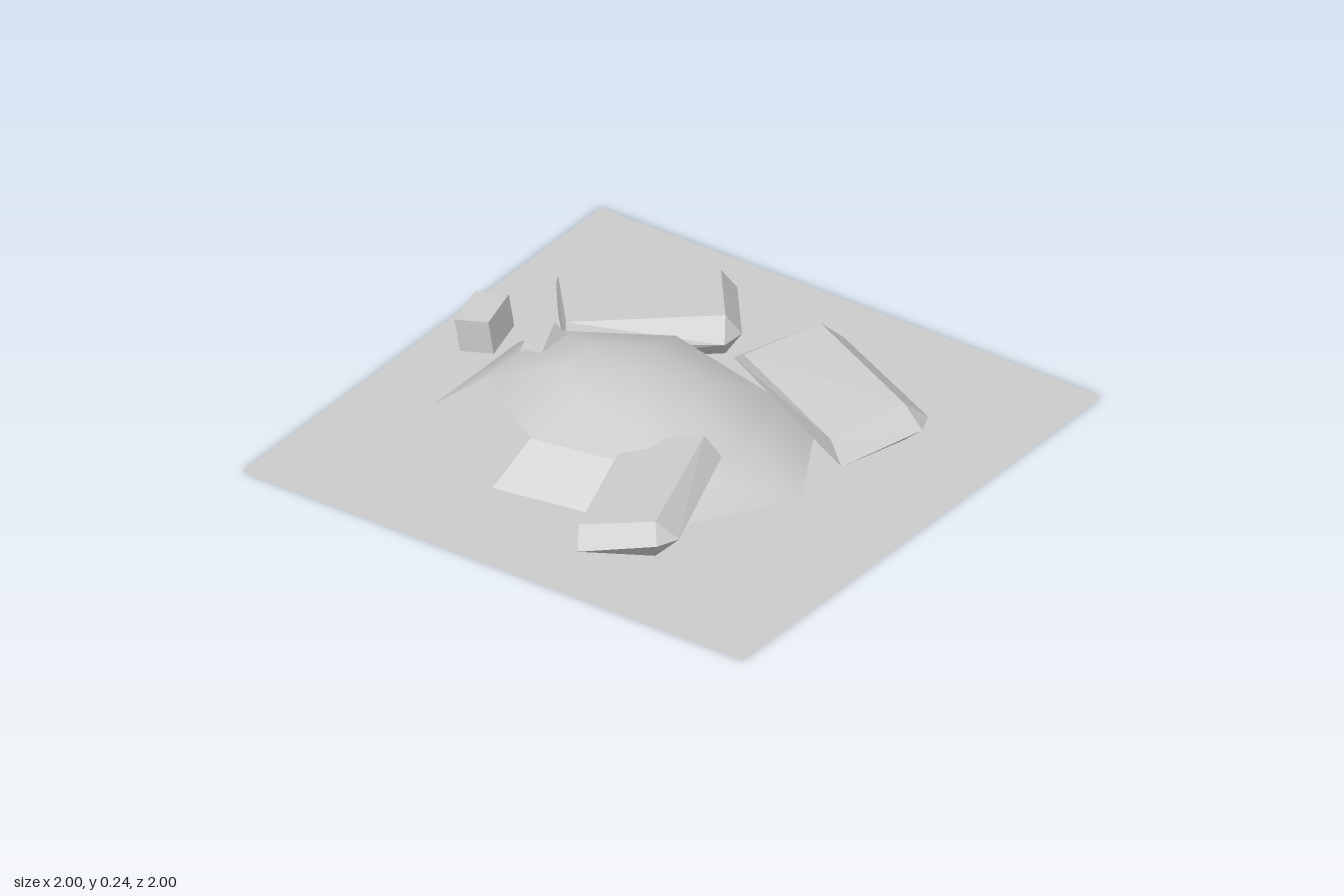
import * as THREE from 'three';
import { ConvexGeometry } from 'three/addons/geometries/ConvexGeometry.js';

const grey = new THREE.MeshStandardMaterial({ color: 0xcccccc, side: THREE.DoubleSide });
grey.name = 'stoneGrey';

// Mound rings, from the crown to the foot: [height, seven x/z corners]
const rings = [
  [0.215, [[0.14, 0.08], [0.05, 0.24], [-0.18, 0.27], [-0.34, 0.15], [-0.33, -0.01], [-0.16, -0.11], [0.06, -0.06]]],
  [0.13, [[0.385, 0.09], [0.19, 0.39], [-0.235, 0.46], [-0.57, 0.24], [-0.57, -0.12], [-0.22, -0.33], [0.22, -0.22]]],
  [0, [[0.58, 0.09], [0.3, 0.515], [-0.28, 0.61], [-0.735, 0.3], [-0.735, -0.17], [-0.27, -0.45], [0.34, -0.33]]],
];
const SIDES = 7;

function surface(points, index) {
  const geometry = new THREE.BufferGeometry();
  geometry.setAttribute('position', new THREE.Float32BufferAttribute(points.flat(), 3));
  geometry.setIndex(index);
  geometry.computeVertexNormals();
  return geometry;
}

function add(group, name, geometry) {
  const mesh = new THREE.Mesh(geometry, grey);
  mesh.name = name;
  group.add(mesh);
  return mesh;
}

function buildMound(group) {
  const points = [[-0.1, 0.24, 0.08]];
  for (const [y, corners] of rings) for (const [x, z] of corners) points.push([x, y, z]);
  const at = (ring, k) => 1 + ring * SIDES + (k % SIDES);
  const index = [], frontPanel = [];
  for (let k = 0; k < SIDES; k++) {
    index.push(0, at(0, k + 1), at(0, k));
    for (let r = 0; r < 2; r++) {
      if (r === 1 && k === 2) continue; // opening in the lower band
      const target = r === 1 && k === 1 ? frontPanel : index;
      const [a, b, c, d] = [at(r, k), at(r, k + 1), at(r + 1, k + 1), at(r + 1, k)];
      target.push(a, b, d, b, c, d);
    }
  }
  add(group, 'mound', surface(points, index));
  add(group, 'moundFrontPanel', surface(points, frontPanel)); // steeper panel with its own hard edge
}

// Bevelled slabs: corners of the top, the wide middle and the underside
const slabs = {
  backLeftSlab: [
    [-0.73, 0.15, -0.385], [-0.32, 0.15, -0.72], [-0.145, 0.15, -0.5], [-0.54, 0.15, -0.165],
    [-0.77, 0.08, -0.43], [-0.37, 0.08, -0.76], [-0.28, 0.08, -0.755],
    [-0.1, 0.08, -0.53], [-0.105, 0.08, -0.44], [-0.525, 0.08, -0.14],
    [-0.73, 0.005, -0.385], [-0.32, 0.005, -0.72], [-0.145, 0.005, -0.5], [-0.54, 0.005, -0.165],
  ],
  backRightSlab: [
    [0.18, 0.2, -0.575], [0.69, 0.2, -0.33], [0.58, 0.15, -0.075], [0.065, 0.17, -0.31],
    [0.14, 0.13, -0.61], [0.225, 0.13, -0.64], [0.735, 0.13, -0.4],
    [0.77, 0.13, -0.32], [0.64, 0.08, -0.05], [0.01, 0.13, -0.33],
    [0.18, 0.06, -0.575], [0.69, 0.06, -0.33],
  ],
  frontSlab: [
    [0.28, 0.2, 0.21], [0.46, 0.2, 0.735], [0.212, 0.14, 0.815], [0.03, 0.14, 0.3],
    [0.28, 0.14, 0.18], [0.345, 0.14, 0.205], [0.53, 0.14, 0.7],
    [0.497, 0.14, 0.78], [0.245, 0.075, 0.868], [0.03, 0.075, 0.28],
    [0.28, 0.07, 0.22], [0.46, 0.07, 0.735],
  ],
};

// Loose stones: name, size, position, rotation
const stones = [
  ['leftStone', [0.12, 0.12, 0.175], [-0.82, 0.08, -0.1], [0.05, 0.23, 0.13]],
  ['moundStone', [0.11, 0.09, 0.18], [-0.52, 0.115, 0], [0.4, 0.25, 0.45]],
  ['backPebble', [0.06, 0.05, 0.07], [0.05, 0.04, -0.46], [0, -0.5, 0.1]],
];

export function createModel() {
  const group = new THREE.Group();
  group.name = 'rubbleMound';

  // Square base sheet
  add(group, 'ground', new THREE.PlaneGeometry(2, 2).rotateX(-Math.PI / 2));

  buildMound(group);

  for (const [name, corners] of Object.entries(slabs)) {
    add(group, name, new ConvexGeometry(corners.map((p) => new THREE.Vector3(...p))));
  }

  for (const [name, size, position, rotation] of stones) {
    const stone = add(group, name, new THREE.BoxGeometry(...size));
    stone.position.set(...position);
    stone.rotation.set(...rotation);
  }
  return group;
}
